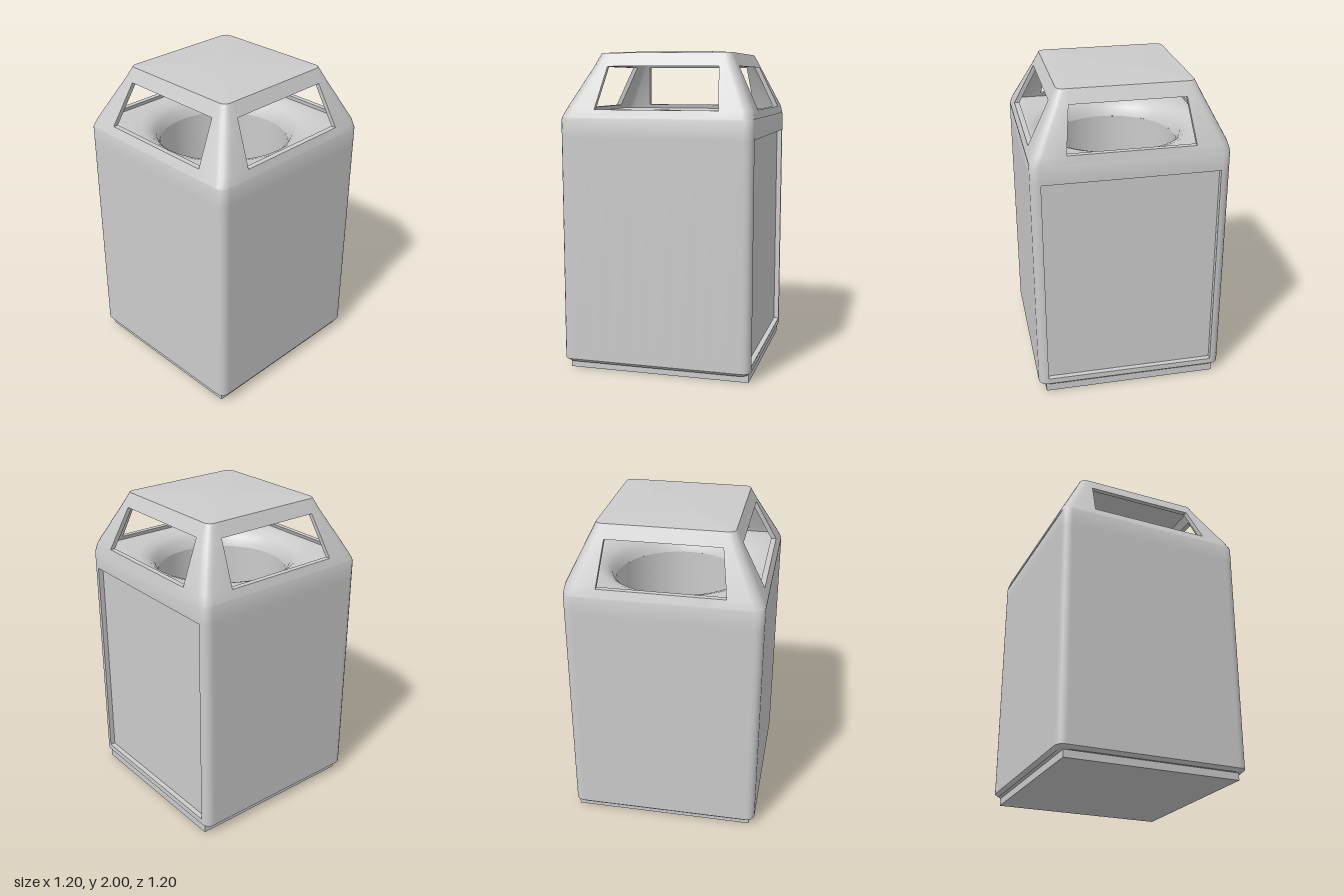
import * as THREE from 'three';
import { toCreasedNormals } from 'three/addons/utils/BufferGeometryUtils.js';

const FLAT = 8, ARC = 5, PER_SIDE = FLAT + 1 + ARC, COUNT = PER_SIDE * 4;
const material = new THREE.MeshStandardMaterial({ color: 0xcccccc, side: THREE.DoubleSide });

// Rounded-square ring: height, half size, corner radius, half width of the flat, z shift
function squareRing(y, half, r, w, cz = 0) {
  const side = [];
  for (let i = 0; i <= FLAT; i++) side.push([w * (2 * i / FLAT - 1), half]);
  for (let j = 0; j < ARC; j++) {
    const a = (Math.PI / 2) * (1 - j / (ARC - 1));
    side.push([half - r + r * Math.cos(a), half - r + r * Math.sin(a)]);
  }
  const ring = [];
  for (let s = 0; s < 4; s++) {
    for (let [x, z] of side) {
      for (let k = 0; k < s; k++) [x, z] = [z, -x];
      ring.push(new THREE.Vector3(x, y, z + cz));
    }
  }
  return ring;
}

// Circle whose points line up with those of a square ring
function circleRing(y, radius) {
  return squareRing(0, 0.54, 0.05, 0.46).map((p) => p.setLength(radius).setY(y));
}

// Skins consecutive rings; isGap(ring, side) leaves the flat of that side open
function loft(rings, isGap, reveal) {
  const pos = [];
  const quad = (a, b, c, d) => [a, b, c, a, c, d].forEach((p) => pos.push(p.x, p.y, p.z));
  for (let k = 0; k < rings.length - 1; k++) {
    const lo = rings[k], hi = rings[k + 1];
    for (let i = 0; i < COUNT; i++) {
      if (i % PER_SIDE < FLAT && isGap(k, Math.floor(i / PER_SIDE))) continue;
      const n = (i + 1) % COUNT;
      quad(lo[i], lo[n], hi[n], hi[i]);
    }
  }
  // Edges of the openings, joining the outer and inner skins
  if (reveal) {
    const [ob, ot, ib, it] = reveal.map((k) => rings[k]);
    for (let s = 0; s < 4; s++) {
      const l = s * PER_SIDE, r = l + FLAT;
      quad(ob[l], ob[r], ib[r], ib[l]);
      quad(ot[r], ot[l], it[l], it[r]);
      quad(ob[l], ib[l], it[l], ot[l]);
      quad(ib[r], ob[r], ot[r], it[r]);
    }
  }
  const geo = new THREE.BufferGeometry();
  geo.setAttribute('position', new THREE.Float32BufferAttribute(pos, 3));
  return toCreasedNormals(geo, 0.75);
}

export function createModel() {
  const group = new THREE.Group();
  const add = (name, geo, x = 0, y = 0, z = 0) => {
    const mesh = new THREE.Mesh(geo, material);
    mesh.name = name;
    mesh.position.set(x, y, z);
    group.add(mesh);
    return mesh;
  };

  // Plinth
  add('plinth', new THREE.BoxGeometry(1.11, 0.06, 1.15), 0, 0.03, -0.01);

  // Body with a doorway at the back and a funnel mouth in its top
  const doorW = 0.54, doorLow = 0.1, doorHigh = 1.47;
  const body = [
    squareRing(0.045, 0, 0, 0),
    squareRing(0.045, 0.58, 0.05, 0.52),
    squareRing(0.065, 0.6, 0.05, doorW),
    squareRing(doorLow, 0.6, 0.05, doorW),
    squareRing(doorHigh, 0.6, 0.05, doorW),
    squareRing(1.58, 0.6, 0.05, doorW),
    squareRing(1.605, 0.59, 0.05, 0.53),
    squareRing(1.615, 0.56, 0.05, 0.5),
    circleRing(1.605, 0.52),
    circleRing(1.585, 0.47),
    circleRing(1.55, 0.43),
    circleRing(1.49, 0.41),
  ];
  add('body', loft(body, (k, side) => k === 3 && side === 2));

  // Recessed door and the lining of its opening
  const doorH = doorHigh - doorLow, doorY = (doorHigh + doorLow) / 2, depth = 0.035;
  add('door', new THREE.BoxGeometry(doorW * 2, doorH, 0.02), 0, doorY, -0.6 + depth + 0.01);
  for (const s of [-1, 1]) {
    add('doorJamb', new THREE.BoxGeometry(0.01, doorH, depth), s * (doorW + 0.005), doorY, -0.598 + depth / 2);
    add('doorRail', new THREE.BoxGeometry(doorW * 2, 0.01, depth), 0, doorY + s * (doorH / 2 + 0.005), -0.598 + depth / 2);
  }

  // Inner bin under the mouth
  add('liner', new THREE.CylinderGeometry(0.41, 0.41, 1.36, 48, 1, true), 0, 0.81, 0);
  add('linerFloor', new THREE.CircleGeometry(0.41, 48).rotateX(-Math.PI / 2), 0, 0.13, 0);

  // Canopy: tapered corner posts, four windows and a slightly domed roof
  const cz = -0.015;
  const canopy = [
    squareRing(1.59, 0.6, 0.06, 0.385),
    squareRing(1.64, 0.583, 0.06, 0.385, cz / 2),
    squareRing(1.9, 0.452, 0.05, 0.35, cz),
    squareRing(1.982, 0.412, 0.04, 0.33, cz),
    squareRing(1.995, 0.22, 0.02, 0.18, cz),
    squareRing(2.0, 0, 0, 0, cz),
    squareRing(1.965, 0, 0, 0, cz),
    squareRing(1.95, 0.39, 0.03, 0.33, cz),
    squareRing(1.9, 0.42, 0.04, 0.35, cz),
    squareRing(1.64, 0.55, 0.05, 0.385, cz / 2),
    squareRing(1.59, 0.565, 0.05, 0.385),
  ];
  add('canopy', loft(canopy, (k) => k === 1 || k === 8, [1, 2, 9, 8]));

  return group;
}
